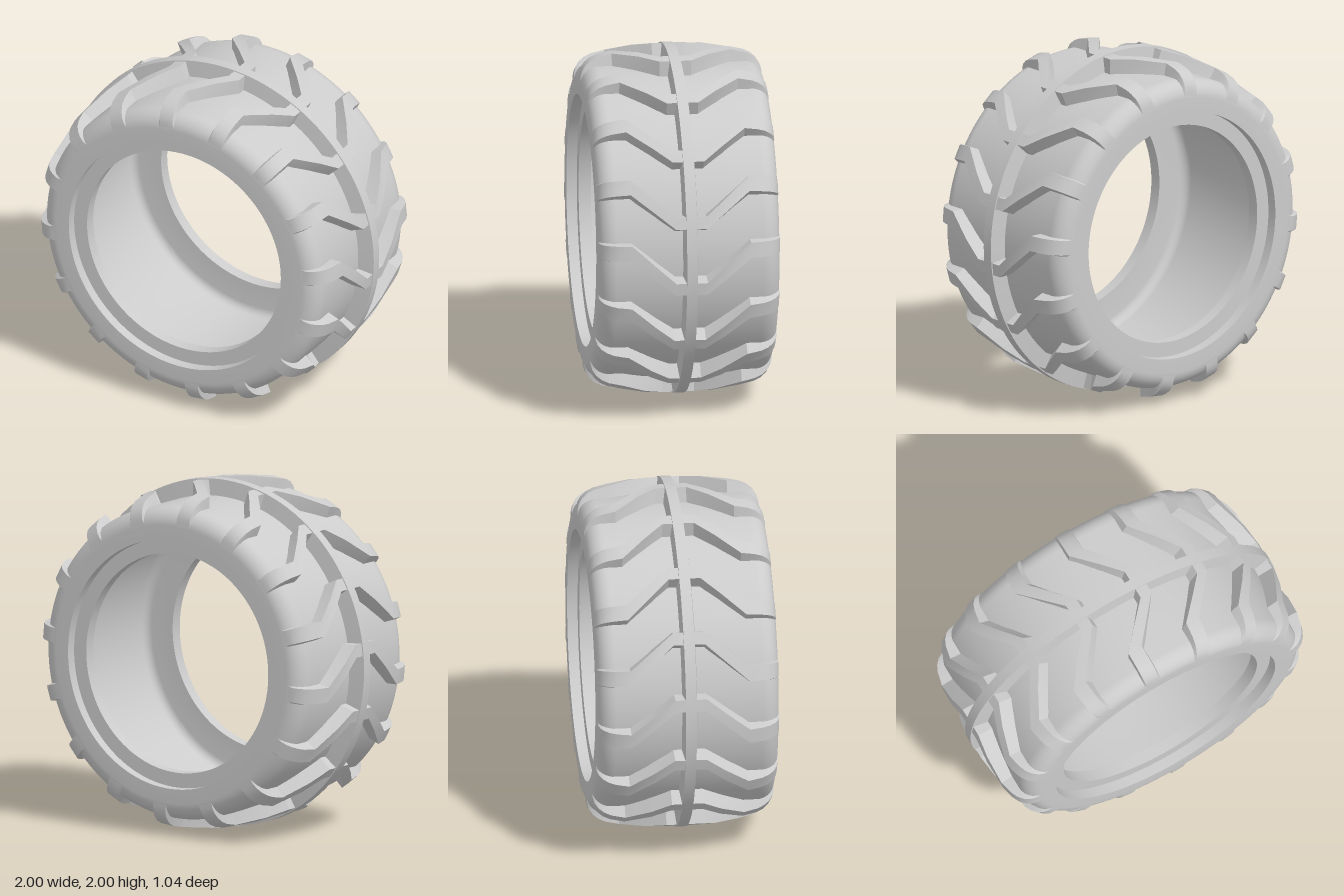
import * as THREE from 'three';
import { toCreasedNormals } from 'three/addons/utils/BufferGeometryUtils.js';

const material = new THREE.MeshStandardMaterial({ color: 0xcccccc });

// Revolve a closed (radius, z) profile about the z axis
function ring(name, profile, crease = 0.5) {
  const points = [...profile, profile[0]].map(([r, z]) => new THREE.Vector2(r, z));
  const geometry = new THREE.LatheGeometry(points, 128).rotateX(Math.PI / 2);
  const mesh = new THREE.Mesh(toCreasedNormals(geometry, crease), material);
  mesh.name = name;
  return mesh;
}

// Half of the carcass profile, from the crown over the shoulder to the cavity
function carcassHalf() {
  const half = [];
  for (let i = 0; i <= 10; i++) {
    const a = (i / 10) * Math.PI / 2;
    half.push([0.805 + 0.1 * Math.cos(a), 0.42 + 0.1 * Math.sin(a)]);
  }
  // bead recess and flange
  half.push([0.72, 0.52], [0.72, 0.46], [0.635, 0.46], [0.635, 0.39], [0.78, 0.39]);
  // rounded cavity corner
  for (let i = 1; i <= 6; i++) {
    const a = (i / 6) * Math.PI / 2;
    half.push([0.78 + 0.05 * Math.sin(a), 0.34 + 0.05 * Math.cos(a)]);
  }
  return half;
}

// Half of a chevron lug: [z, clockwise angle, top radius, half width at top]
const lugHalf = [
  [0, 0.12, 0.994, 0.036],
  [0.09, 0.12, 0.994, 0.036],
  [0.2, 0.024, 0.989, 0.04],
  [0.34, -0.1, 0.975, 0.045],
  [0.42, -0.1, 0.957, 0.046],
  [0.46, -0.1, 0.938, 0.047],
  [0.49, -0.1, 0.912, 0.048],
  [0.51, -0.1, 0.88, 0.049],
  [0.519, -0.1, 0.845, 0.05],
];

// Sweep a tapered four-sided section from one shoulder to the other
function lugGeometry() {
  const path = [
    ...lugHalf.slice(1).reverse().map(([z, ...rest]) => [-z, ...rest]),
    ...lugHalf,
  ];
  const sections = path.map(([z, angle, top, w]) => {
    const base = Math.min(0.88, top - 0.05);
    const at = (r, a) => [r * Math.sin(a), r * Math.cos(a), z];
    return [at(top, angle - w), at(top, angle + w),
      at(base, angle + w + 0.016), at(base, angle - w - 0.016)];
  });
  const positions = [];
  const quad = (a, b, c, d) => positions.push(...a, ...b, ...c, ...a, ...c, ...d);
  for (let i = 0; i < sections.length - 1; i++) {
    const s = sections[i], t = sections[i + 1];
    for (let k = 0; k < 4; k++) {
      const n = (k + 1) % 4;
      quad(s[k], t[k], t[n], s[n]);
    }
  }
  const first = sections[0], last = sections[sections.length - 1];
  quad(first[0], first[1], first[2], first[3]);
  quad(last[0], last[3], last[2], last[1]);
  const geometry = new THREE.BufferGeometry();
  geometry.setAttribute('position', new THREE.Float32BufferAttribute(positions, 3));
  return toCreasedNormals(geometry, 0.5);
}

export function createModel() {
  const tire = new THREE.Group();
  tire.name = 'tire';
  tire.position.y = 1;

  // Hollow carcass with both sidewalls
  const half = carcassHalf();
  const mirrored = half.map(([r, z]) => [r, -z]).reverse();
  tire.add(ring('carcass', [...mirrored, ...half]));

  // Tapered rib around the middle of the tread
  tire.add(ring('centreRib', [[0.89, -0.045], [1, -0.031], [1, 0.031], [0.89, 0.045]]));

  // Sixteen chevron lugs
  const lugs = new THREE.Group();
  lugs.name = 'treadLugs';
  const geometry = lugGeometry();
  for (let i = 0; i < 16; i++) {
    const lug = new THREE.Mesh(geometry, material);
    lug.name = 'treadLug';
    lug.rotation.z = (i / 16) * Math.PI * 2;
    lugs.add(lug);
  }
  tire.add(lugs);

  const model = new THREE.Group();
  model.name = 'wheelTire';
  model.add(tire);
  return model;
}
